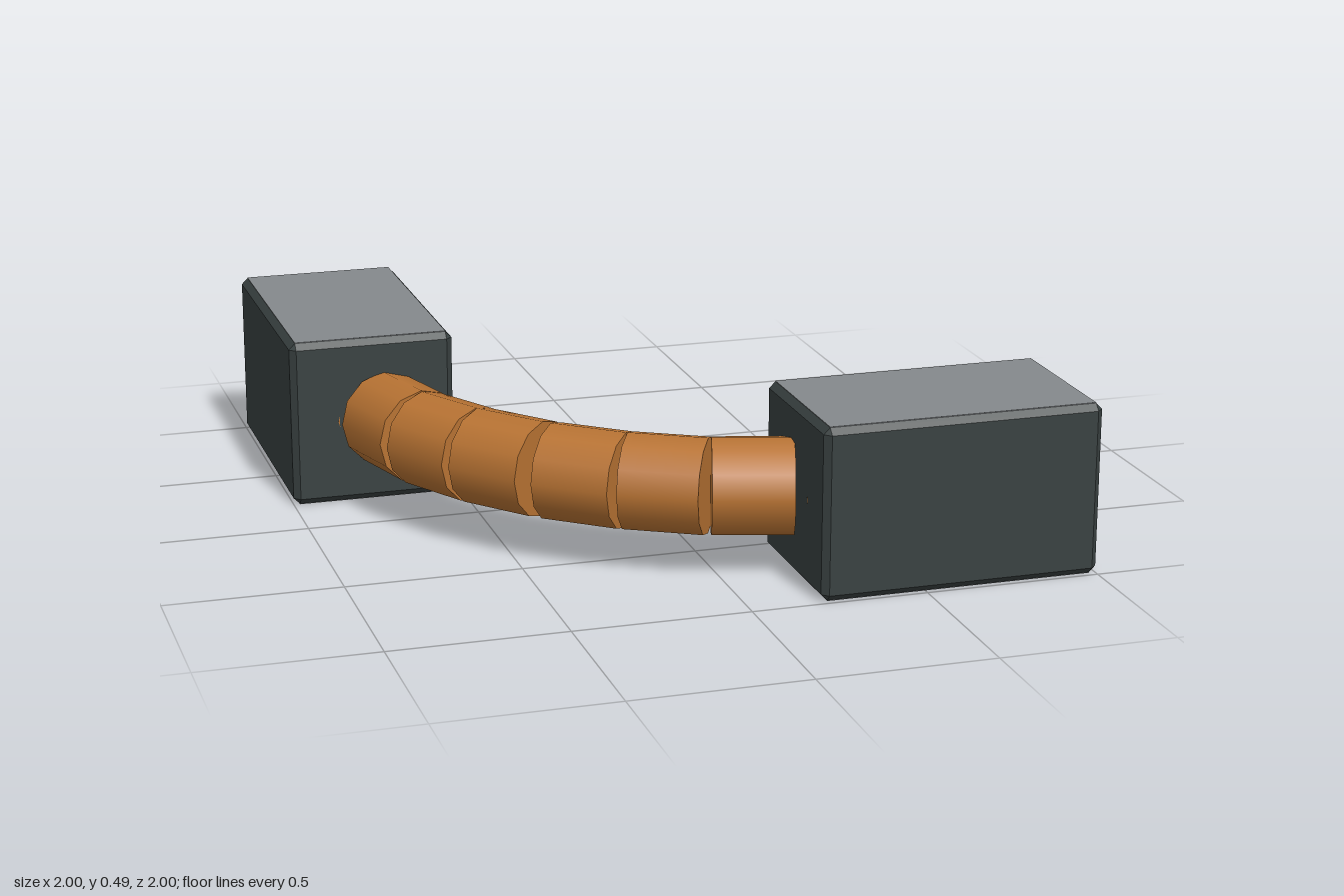
import * as THREE from 'three';
import { ConvexGeometry } from 'three/addons/geometries/ConvexGeometry.js';

const casing = new THREE.MeshStandardMaterial({ name: 'charcoal casing', color: 0x394141 });
const panel = new THREE.MeshStandardMaterial({ name: 'grey panel', color: 0x85898c });
const copper = new THREE.MeshStandardMaterial({ name: 'copper', color: 0xb87333 });

const BEVEL = 0.018;
const HEIGHT = 0.49;
const PLATE = 0.004;

// Box with flat chamfers on every edge
function chamferedBox(w, h, d, c) {
  const points = [];
  for (const sx of [-1, 1]) for (const sy of [-1, 1]) for (const sz of [-1, 1]) {
    const [x, y, z] = [w / 2, h / 2, d / 2];
    points.push(
      new THREE.Vector3(sx * x, sy * (y - c), sz * (z - c)),
      new THREE.Vector3(sx * (x - c), sy * y, sz * (z - c)),
      new THREE.Vector3(sx * (x - c), sy * (y - c), sz * z),
    );
  }
  return new ConvexGeometry(points);
}

function addMesh(parent, name, geometry, material, x, y, z) {
  const mesh = new THREE.Mesh(geometry, material);
  mesh.name = name;
  mesh.position.set(x, y, z);
  parent.add(mesh);
  return mesh;
}

// End block: dark chamfered casing with grey panels above and below
function endBlock(name, w, d, x, z) {
  const block = new THREE.Group();
  block.name = name;
  block.position.set(x, HEIGHT / 2, z);
  addMesh(block, 'casing', chamferedBox(w, HEIGHT - PLATE, d, BEVEL), casing, 0, 0, 0);
  const plate = new THREE.BoxGeometry(w - 2 * BEVEL, PLATE, d - 2 * BEVEL);
  addMesh(block, 'topPanel', plate, panel, 0, HEIGHT / 2 - PLATE / 2, 0);
  addMesh(block, 'bottomPanel', plate, panel, 0, -HEIGHT / 2 + PLATE / 2, 0);
  return block;
}

export function createModel() {
  const model = new THREE.Group();
  model.name = 'cableConnector';
  model.add(endBlock('rearBlock', 0.48, 0.8, -0.76, -0.6));
  model.add(endBlock('frontBlock', 0.8, 0.48, 0.6, 0.76));

  // Half of the bend: x, z and heading in degrees from +z; the rest is mirrored
  const half = [
    [-0.735, -0.322, 4],
    [-0.696, -0.1, 16.5],
    [-0.609, 0.115, 29.5],
    [-0.481, 0.304, 39.5],
  ];
  const bend = half.concat(half.map(([x, z, a]) => [-z, -x, 90 - a]).reverse());

  // Straight overlapping cable segments, lying along +z before turning
  const segment = new THREE.CylinderGeometry(0.1375, 0.1375, 0.226, 12);
  segment.rotateY(Math.PI / 2).rotateX(Math.PI / 2);
  const cable = new THREE.Group();
  cable.name = 'cable';
  bend.forEach(([x, z, angle], i) => {
    const mesh = addMesh(cable, `cableSegment${i + 1}`, segment, copper, x, 0.247, z);
    mesh.rotation.y = THREE.MathUtils.degToRad(angle);
  });
  model.add(cable);
  return model;
}
